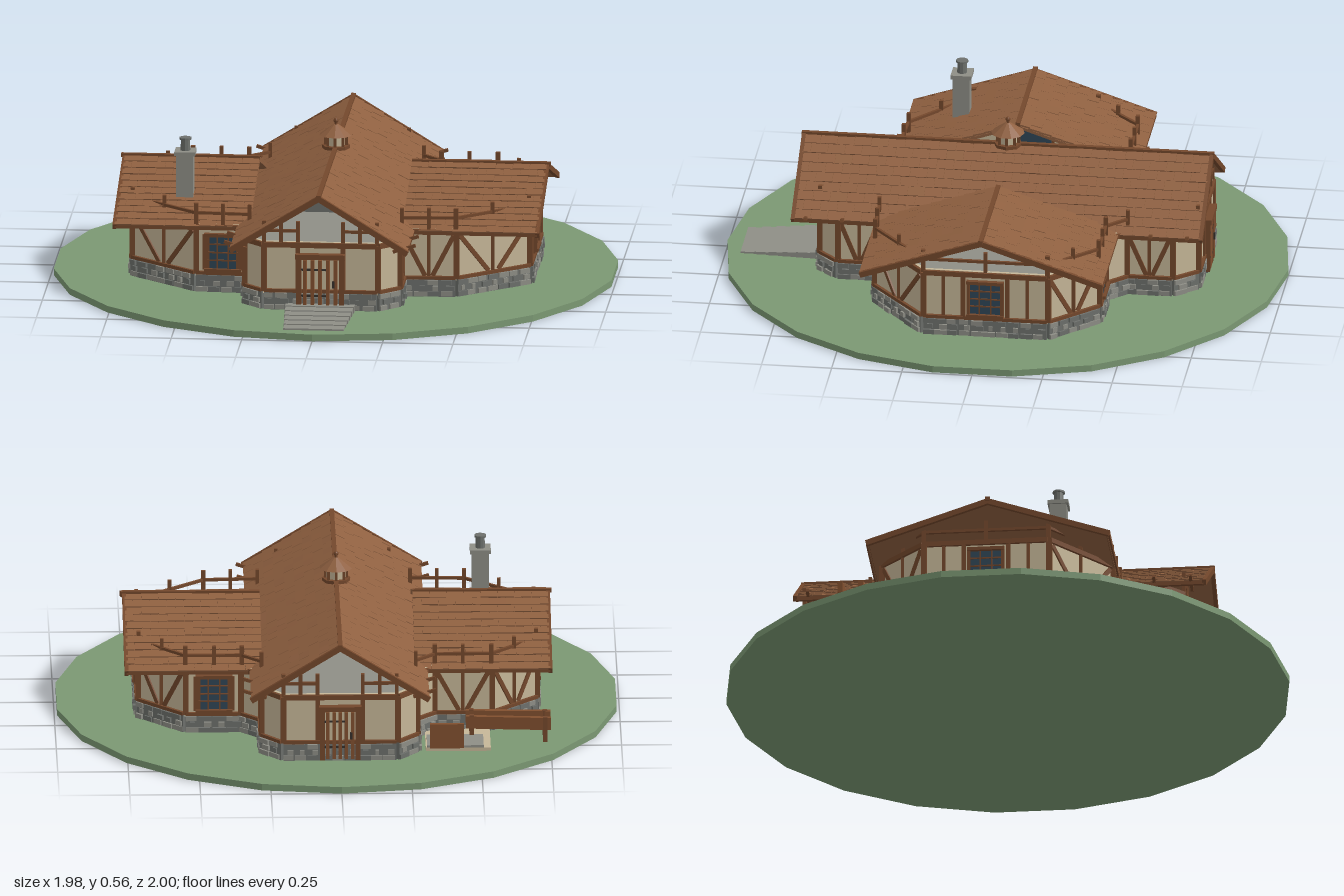
import * as THREE from 'three';
import { mergeGeometries } from 'three/addons/utils/BufferGeometryUtils.js';

const paint = (name, color) => Object.assign(new THREE.MeshStandardMaterial({ color }), { name });
const V = (x, y, z) => new THREE.Vector3(x, y, z);

export function createModel() {
  const grass = paint('grass', 0x7b9873), timber = paint('timber', 0x74482c);
  const shingle = paint('shingle', 0x8f6040), plaster = paint('plaster', 0xc6b798);
  const stone = paint('stone', 0x8e8e86), darkStone = paint('dark stone', 0x6d706c);
  const glass = paint('glass', 0x2f4656), iron = paint('iron', 0x35302c);
  const doorWood = paint('door wood', 0x82502f);

  let seed = 7;
  const rand = () => (seed = (seed * 16807) % 2147483647) / 2147483647;

  // Pieces are collected by part name and material, then merged
  const parts = new Map();
  function add(name, mat, geo) {
    const key = name + '|' + mat.name;
    if (!parts.has(key)) parts.set(key, { name, mat, list: [] });
    parts.get(key).list.push(geo);
  }
  function box(name, mat, w, h, d, x, y, z) {
    add(name, mat, new THREE.BoxGeometry(w, h, d).translate(x, y, z));
  }
  function cyl(name, mat, r1, r2, h, n, x, y, z) {
    add(name, mat, new THREE.CylinderGeometry(r1, r2, h, n).toNonIndexed().translate(x, y, z));
  }
  // Box laid from a to b
  function beam(name, mat, a, b, w, h) {
    const m = new THREE.Matrix4().lookAt(a, b, V(0, 1, 0));
    m.setPosition(a.clone().add(b).multiplyScalar(0.5));
    add(name, mat, new THREE.BoxGeometry(w, h, a.distanceTo(b)).applyMatrix4(m));
  }

  // Ground
  cyl('ground', grass, 1, 1, 0.024, 22, 0, 0.012, 0);

  // Cross-shaped floor plan with cut corners, as [x, z]
  const half = [[0.2, 0.64], [0.27, 0.57], [0.27, 0.42], [0.46, 0.41], [0.70, 0.21], [0.70, -0.23],
    [0.54, -0.39], [0.34, -0.39], [0.27, -0.46], [0.27, -0.62], [0.2, -0.70]];
  const plan = [...half, ...half.map(([x, z]) => [-x, z]).reverse()];
  const windowEdges = [4, 6, 16, 18], doorEdges = [10, 21];
  const noRail = [0, 1, 8, 9, 11, 12, 19, 20];

  const floor = new THREE.Shape(plan.map(([x, z]) => new THREE.Vector2(x, -z)));
  add('floor', stone, new THREE.ExtrudeGeometry(floor, { depth: 0.012, bevelEnabled: false })
    .rotateX(-Math.PI / 2).translate(0, 0.024, 0));

  plan.forEach(([x1, z1], i) => {
    const [x2, z2] = plan[(i + 1) % plan.length];
    const len = Math.hypot(x2 - x1, z2 - z1);
    const out = V(-(z2 - z1) / len, 0, (x2 - x1) / len);
    // Point on the wall: t along it, height y, o outwards
    const P = (t, y, o = 0) => V(x1 + (x2 - x1) * t, y, z1 + (z2 - z1) * t).addScaledVector(out, o);
    const post = (t, w = 0.016) => beam('posts', timber, P(t, 0.09, 0.006), P(t, 0.26, 0.006), w, w);

    beam('walls', plaster, P(0, 0.175), P(1, 0.175), 0.012, 0.19);
    beam('stoneBase', darkStone, P(0, 0.057), P(1, 0.057), 0.026, 0.066);
    beam('sillBeams', timber, P(0, 0.093, 0.006), P(1, 0.093, 0.006), 0.022, 0.012);
    beam('topPlates', timber, P(0, 0.26, 0.005), P(1, 0.26, 0.005), 0.022, 0.018);
    post(0, 0.02);

    // Rubble stones in three courses
    for (let row = 0; row < 3; row++) {
      const n = Math.max(2, Math.round(len / 0.045));
      for (let k = 0; k < n; k++) {
        const a = Math.max(0, k + (row % 2) * 0.4 - 0.1) / n, b = Math.min(1, (k + 0.6 + rand() * 0.35) / n);
        const y = 0.035 + row * 0.021, o = 0.011 + rand() * 0.006;
        if (b > a) beam('baseStones', rand() < 0.6 ? stone : darkStone, P(a, y, o), P(b, y, o), 0.012, 0.017);
      }
    }

    if (doorEdges.includes(i)) {
      post(0.3); post(0.7);
      // Plank door with frame, straps and handle
      const D = (s, y, o) => P(0.5 + s / len, y, o);
      const w = i === 21 ? 0.068 : 0.055;
      for (let k = 0; k < 5; k++) {
        const s = (k - 2) * w * 0.4;
        beam('doors', doorWood, D(s, 0.035, 0.02), D(s, 0.21, 0.02), 0.012, w * 0.37);
      }
      beam('doors', iron, D(0, 0.035, 0.016), D(0, 0.21, 0.016), 0.01, 0.004);
      for (const s of [-w - 0.008, w + 0.008])
        beam('doorFrames', timber, D(s, 0.03, 0.02), D(s, 0.22, 0.02), 0.018, 0.018);
      beam('doorFrames', timber, D(-w - 0.02, 0.222, 0.022), D(w + 0.02, 0.222, 0.022), 0.028, 0.018);
      for (const y of [0.08, 0.175])
        beam('doorStraps', iron, D(-w, y, 0.028), D(w * 0.5, y, 0.028), 0.004, 0.007);
      beam('doorHandle', iron, D(w * 0.7, 0.11, 0.03), D(w * 0.7, 0.135, 0.03), 0.008, 0.006);
    } else if (windowEdges.includes(i)) {
      // Latticed window, showing on both faces of the wall
      const W = (s, y, o) => P(0.5 + s / len, y, o);
      beam('windowGlass', glass, W(-0.055, 0.168, 0), W(0.055, 0.168, 0), 0.022, 0.12);
      for (const y of [0.104, 0.232])
        beam('windowFrames', timber, W(-0.066, y, 0.006), W(0.066, y, 0.006), 0.034, 0.012);
      for (const s of [-0.06, 0.06])
        beam('windowFrames', timber, W(s, 0.105, 0.006), W(s, 0.232, 0.006), 0.026, 0.012);
      for (const s of [-0.02, 0.02])
        beam('windowBars', timber, W(s, 0.108, 0.011), W(s, 0.23, 0.011), 0.006, 0.005);
      for (const y of [0.14, 0.168, 0.198])
        beam('windowBars', timber, W(-0.055, y, 0.011), W(0.055, y, 0.011), 0.006, 0.005);
      if (len > 0.3) { post(0.32); post(0.68); post(0.16, 0.012); post(0.84, 0.012); }
    } else if (len > 0.14) {
      // V braces
      post(0.5, 0.012);
      for (const t of [0.04, 0.96])
        beam('braces', timber, P(t, 0.245, 0.006), P(0.5 + (t - 0.5) * 0.15, 0.1, 0.006), 0.012, 0.016);
    }

    // Rail above the wall head, open over the doors
    if (!noRail.includes(i)) {
      const spans = doorEdges.includes(i) ? [[0, 0.3], [0.7, 1]] : [[0, 1]];
      for (const [a, b] of spans) {
        beam('rails', timber, P(a, 0.31, 0.004), P(b, 0.31, 0.004), 0.01, 0.01);
        for (const t of len > 0.15 ? [a, (a + b) / 2, b] : [a, b])
          beam('railPosts', timber, P(t, 0.26, 0.004), P(t, 0.345, 0.004), 0.013, 0.013);
      }
    }
  });

  // One roof slope: deck plus overlapping shingles; ridge from a to b, fall vector down
  function slope(name, a, b, down) {
    const A = b.clone().sub(a), len = A.length(), run = down.length();
    A.normalize();
    const D = down.clone().normalize();
    const N = A.clone().cross(D);
    if (N.y < 0) N.negate();
    const slab = (mat, w, h, d, s, t, lift, tilt) => {
      const Dt = D.clone().addScaledVector(N, tilt).normalize();
      const Nt = A.clone().cross(Dt);
      if (Nt.y < 0) Nt.negate();
      const m = new THREE.Matrix4().makeBasis(A, Nt, A.clone().cross(Nt));
      m.setPosition(a.clone().addScaledVector(A, s).addScaledVector(D, t).addScaledVector(N, lift));
      add(name, mat, new THREE.BoxGeometry(w, h, d).applyMatrix4(m));
    };
    slab(shingle, len, 0.01, run, len / 2, run / 2, -0.006, 0);
    const rows = Math.round(run / 0.042), step = run / rows, cols = Math.round(len / 0.06), cw = len / cols;
    for (let r = 0; r < rows; r++) for (let c = 0; c <= cols; c++) {
      const s0 = Math.max(0, (c - (r % 2) * 0.5) * cw), s1 = Math.min(len, (c + 1 - (r % 2) * 0.5) * cw);
      if (s1 - s0 > 0.005)
        slab(shingle, s1 - s0 - 0.001, 0.006, step * 1.1, (s0 + s1) / 2, (r + 0.5) * step,
          0.002 + rand() * 0.002, 0.06 + rand() * 0.03);
    }
  }

  // Main roof, open at both gables
  for (const s of [-1, 1]) {
    slope('mainRoof', V(0, 0.452, -0.725), V(0, 0.452, 0.725), V(s * 0.31, -0.192, 0));
    beam('eaveBeams', timber, V(s * 0.308, 0.256, -0.725), V(s * 0.308, 0.256, 0.725), 0.012, 0.014);
    for (const z of [-0.727, 0.727])
      beam('gableRafters', timber, V(0, 0.45, z), V(s * 0.315, 0.255, z), 0.014, 0.02);
    for (const z of [-0.68, -0.55, 0.55, 0.68])
      beam('outriggers', timber, V(s * 0.26, 0.25, z), V(s * 0.34, 0.275, z), 0.011, 0.011);
    // Wing roofs, open at both ends
    for (const f of [-1, 1]) {
      slope('wingRoof', V(s * 0.27, 0.405, 0), V(s * 0.75, 0.405, 0), V(0, -0.145, f * 0.43));
      beam('eaveBeams', timber, V(s * 0.27, 0.258, f * 0.427), V(s * 0.75, 0.258, f * 0.427), 0.012, 0.014);
      beam('gableRafters', timber, V(s * 0.75, 0.4, 0), V(s * 0.75, 0.256, f * 0.432), 0.014, 0.02);
    }
    beam('ridgePoles', timber, V(s * 0.27, 0.408, 0), V(s * 0.762, 0.408, 0), 0.016, 0.014);
  }
  beam('ridgePoles', timber, V(0, 0.455, -0.735), V(0, 0.455, 0.735), 0.016, 0.014);

  // Roof lantern
  cyl('lantern', timber, 0.05, 0.05, 0.012, 8, 0, 0.456, 0);
  cyl('lantern', plaster, 0.034, 0.034, 0.05, 8, 0, 0.48, 0);
  for (let k = 0; k < 8; k++) {
    const a = k * Math.PI / 4;
    box('lanternPosts', timber, 0.01, 0.05, 0.01, 0.038 * Math.sin(a), 0.48, 0.038 * Math.cos(a));
  }
  cyl('lanternRoof', shingle, 0.008, 0.06, 0.038, 10, 0, 0.518, 0);
  cyl('lanternFinial', timber, 0.006, 0.006, 0.025, 6, 0, 0.543, 0);
  add('lanternFinial', timber, new THREE.SphereGeometry(0.009, 8, 6).toNonIndexed().translate(0, 0.55, 0));

  // Chimney
  box('chimney', stone, 0.06, 0.19, 0.06, -0.515, 0.39, 0.23);
  box('chimneyCap', stone, 0.074, 0.014, 0.074, -0.515, 0.483, 0.23);
  cyl('chimneyPot', darkStone, 0.016, 0.018, 0.05, 10, -0.515, 0.51, 0.23);
  cyl('chimneyPot', darkStone, 0.022, 0.022, 0.007, 10, -0.515, 0.533, 0.23);

  // Front steps
  for (let k = 0; k < 6; k++)
    box('frontSteps', stone, 0.245 - k * 0.006, 0.024 - k * 0.0036, 0.05, 0, 0.024 + (0.024 - k * 0.0036) / 2, 0.665 + k * 0.05);

  // Rear terrace with low boards and troughs
  box('terrace', plaster, 0.23, 0.014, 0.2, -0.42, 0.03, -0.52);
  box('terraceSlab', stone, 0.2, 0.02, 0.12, -0.41, 0.035, -0.56);
  box('terraceBoard', doorWood, 0.12, 0.09, 0.014, -0.38, 0.085, -0.63);
  for (const [za, zb] of [[-0.452, -0.438], [-0.525, -0.502]]) {
    beam('fenceBoards', doorWood, V(-0.75, 0.092, za), V(-0.45, 0.092, zb), 0.018, 0.045);
    for (const [x, z] of [[-0.73, za], [-0.47, zb]])
      box('fencePosts', timber, 0.016, 0.095, 0.016, x, 0.07, z);
  }

  const model = new THREE.Group();
  model.name = 'house';
  for (const { name, mat, list } of parts.values()) {
    const flat = list.map(g => (g.index ? g.toNonIndexed() : g));
    const mesh = new THREE.Mesh(mergeGeometries(flat), mat);
    mesh.geometry.computeVertexNormals();
    mesh.name = name;
    model.add(mesh);
  }
  return model;
}
